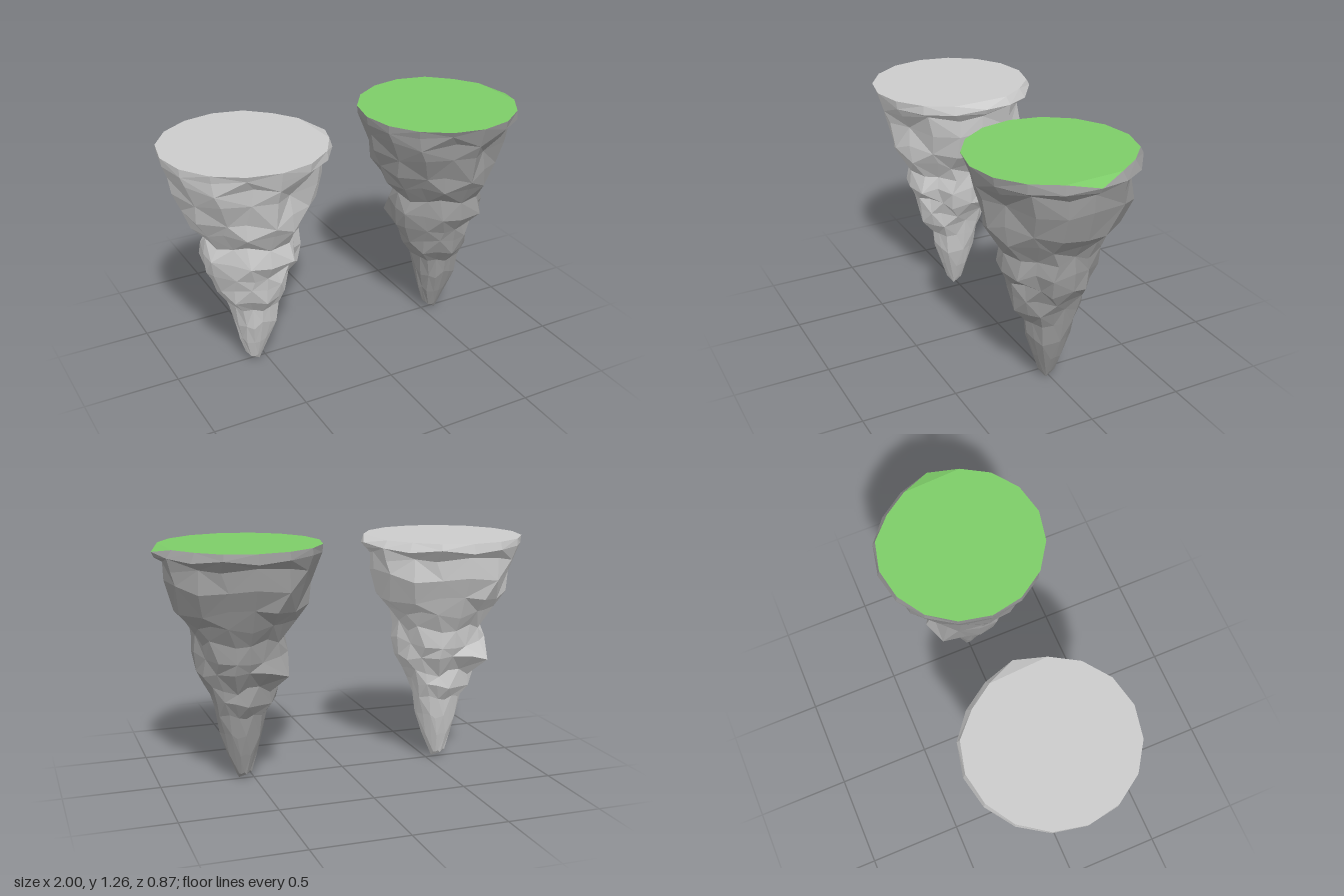
import * as THREE from 'three';

const SIDES = 16;
const TOP = 1.26;

// Rings from rim to tip: height, then reach towards +x, +z, -x, -z
const RINGS = [
  [1.26, 0.41, 0.435, 0.437, 0.425],
  [1.22, 0.43, 0.42, 0.43, 0.437],
  [1.165, 0.385, 0.398, 0.405, 0.385],
  [1.07, 0.388, 0.385, 0.395, 0.385],
  [0.95, 0.335, 0.35, 0.35, 0.335],
  [0.87, 0.285, 0.315, 0.314, 0.285],
  [0.78, 0.235, 0.262, 0.235, 0.235],
  [0.69, 0.242, 0.275, 0.255, 0.225],
  [0.61, 0.235, 0.215, 0.245, 0.2],
  [0.52, 0.185, 0.2, 0.215, 0.145],
  [0.45, 0.155, 0.197, 0.19, 0.16],
  [0.38, 0.14, 0.135, 0.142, 0.107],
  [0.27, 0.122, 0.128, 0.11, 0.098],
  [0.15, 0.082, 0.085, 0.082, 0.07],
  [0.04, 0.034, 0.046, 0.05, 0.037],
];

// Local knobs and hollows: angle in degrees (+x towards +z), height, radial change
const BUMPS = [
  [237, 0.61, 0.11], [225, 0.88, -0.035], [225, 0.78, -0.02],
  [72, 1.08, -0.08], [74, 1.17, 0.015], [154, 1.165, 0.05],
  [110, 0.53, 0.03], [60, 0.61, -0.03], [140, 0.78, -0.02], [140, 0.66, -0.02],
  [315, 0.78, 0.03], [345, 1.26, -0.02], [312, 1.26, -0.025],
];

function seeded(seed) {
  return () => {
    seed = (seed * 16807) % 2147483647;
    return (seed / 2147483647) * 2 - 1;
  };
}

function bumpAt(angle, y) {
  return BUMPS.reduce((sum, [deg, by, amount]) => {
    const b = deg * Math.PI / 180;
    const d = Math.atan2(Math.sin(angle - b), Math.cos(angle - b));
    return sum + amount * Math.exp(-((d / 0.26) ** 2) - ((y - by) / 0.04) ** 2);
  }, 0);
}

function ringPoints() {
  const rand = seeded(4127);
  return RINGS.map(([y, px, pz, nx, nz], i) =>
    Array.from({ length: SIDES }, (_, j) => {
      const a = (j / SIDES) * Math.PI * 2;
      const c = Math.cos(a), s = Math.sin(a);
      const onAxis = j % (SIDES / 4) === 0;
      let r = c * c * (c > 0 ? px : nx) + s * s * (s > 0 ? pz : nz) + bumpAt(a, y);
      let h = y;
      let turn = 0;
      const n1 = rand(), n2 = rand(), n3 = rand();
      if (i > 1) {
        r *= 1 + n1 * (onAxis ? 0.015 : 0.065);
        h += n2 * (i > 12 ? 0.01 : 0.022);
        turn = onAxis ? 0 : n3 * 0.09;
      } else if (i === 1) {
        h += n2 * 0.015;
      } else if (j === 0) {
        // one rim corner sags outward
        r = 0.44;
        h = 1.235;
      }
      return new THREE.Vector3(r * Math.cos(a + turn), h, r * Math.sin(a + turn));
    }));
}

function fromTriangles(points) {
  const g = new THREE.BufferGeometry().setFromPoints(points);
  g.computeVertexNormals();
  return g;
}

function rockGeometry(rings) {
  const tris = [];
  for (let i = 0; i < rings.length - 1; i++) {
    for (let j = 0; j < SIDES; j++) {
      const k = (j + 1) % SIDES;
      const a = rings[i][j], b = rings[i][k], c = rings[i + 1][j], d = rings[i + 1][k];
      // alternate the diagonal for irregular facets
      if ((i * 3 + j) % 2) tris.push(a, b, c, b, d, c);
      else tris.push(a, b, d, a, d, c);
    }
  }
  // blunt tip
  const last = rings[rings.length - 1];
  const tip = new THREE.Vector3(0.018, 0, 0.02);
  last.forEach((p, j) => tris.push(p, last[(j + 1) % SIDES], tip));
  return fromTriangles(tris);
}

function capGeometry(rim) {
  const centre = new THREE.Vector3(0, TOP, 0);
  const tris = [];
  // flat lid, with a small sloping triangle at the sagging corner
  for (let j = 1; j < SIDES - 1; j++) tris.push(centre, rim[j + 1], rim[j]);
  tris.push(centre, rim[1], rim[SIDES - 1], rim[SIDES - 1], rim[1], rim[0]);
  return fromTriangles(tris);
}

export function createModel() {
  const model = new THREE.Group();
  model.name = 'floatingRocks';
  const rings = ringPoints();
  const rock = rockGeometry(rings);
  const cap = capGeometry(rings[0]);

  const addRock = (name, x, rockColor, capColor) => {
    const group = new THREE.Group();
    group.name = name;
    group.position.x = x;
    for (const [part, geometry, color] of [['rockBody', rock, rockColor], ['topSurface', cap, capColor]]) {
      const mesh = new THREE.Mesh(geometry, new THREE.MeshStandardMaterial({ color, flatShading: true }));
      mesh.name = part;
      group.add(mesh);
    }
    model.add(group);
  };

  addRock('bareRock', -0.56, 0xcccccc, 0xcccccc);
  addRock('grassyRock', 0.56, 0x999999, 0x7dcc68);
  return model;
}
